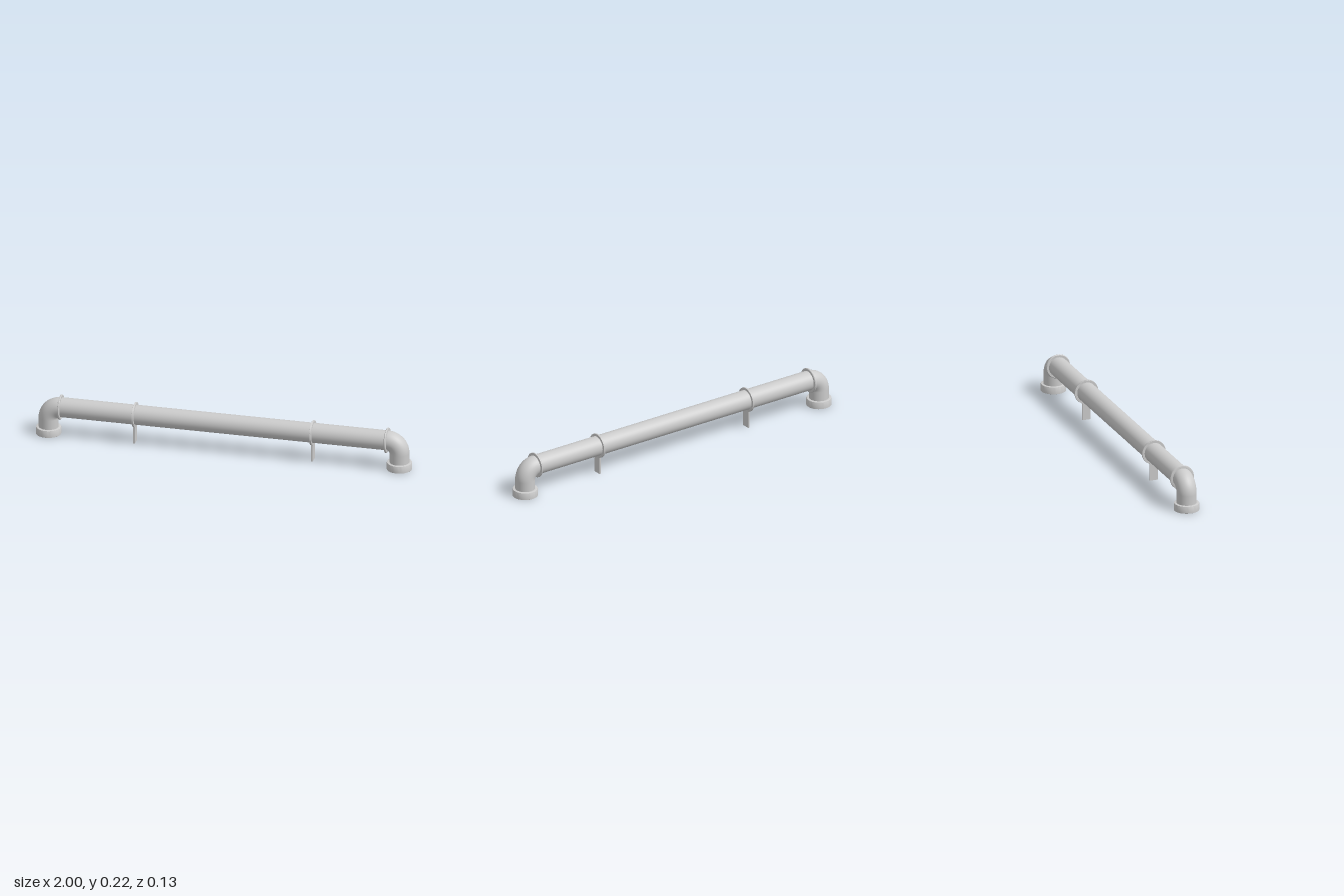
import * as THREE from 'three';
import { toCreasedNormals } from 'three/addons/utils/BufferGeometryUtils.js';

const R = 0.052;      // pipe radius
const AXIS = 0.153;   // height of the pipe's axis
const BEND = 0.064;   // centreline radius of the elbows
const END = 0.87;     // where the straight run meets the elbows
const RIM = 0.066;    // outer radius of collars, flanges and clamps

const grey = new THREE.MeshStandardMaterial({ color: 0xcccccc });
const greyOpen = new THREE.MeshStandardMaterial({ color: 0xcccccc, side: THREE.DoubleSide });

function add(parent, name, geometry, material, x = 0, y = 0, z = 0) {
  const mesh = new THREE.Mesh(geometry, material);
  mesh.name = name;
  mesh.position.set(x, y, z);
  parent.add(mesh);
  return mesh;
}

// Solid ring around y, from y = 0 to h, with bevelled outer edges
function ring(inner, outer, h, bottomBevel, topBevel) {
  const profile = [
    [inner, 0], [outer - bottomBevel, 0], [outer, bottomBevel],
    [outer, h - topBevel], [outer - topBevel * 0.3, h - topBevel * 0.3],
    [outer - topBevel, h], [inner, h], [inner, 0],
  ].map(([x, y]) => new THREE.Vector2(x, y));
  return toCreasedNormals(new THREE.LatheGeometry(profile, 40), 0.7);
}

// The same ring laid around the pipe's axis and centred on it
function pipeRing(inner, outer, width, bevel) {
  return ring(inner, outer, width, bevel, bevel).translate(0, -width / 2, 0).rotateZ(-Math.PI / 2);
}

// Elbow turning down into a socket, with its flange
function makeEnd() {
  const end = new THREE.Group();
  const x = END + BEND, bendY = AXIS - BEND;
  add(end, 'elbow', new THREE.TorusGeometry(BEND, R, 32, 20, Math.PI / 2), greyOpen, END, bendY);
  const neckBase = 0.03;
  add(end, 'neck', new THREE.CylinderGeometry(R, R, bendY - neckBase, 32, 1, true),
    greyOpen, x, (bendY + neckBase) / 2);
  add(end, 'collar', ring(R - 0.001, RIM, 0.039, 0.0005, 0.005), grey, x);
  add(end, 'flange', pipeRing(R - 0.002, RIM, 0.01, 0.003), grey, END - 0.001, AXIS);
  return end;
}

// Clamp band around the pipe, carried by a flat strap
function makeBracket() {
  const bracket = new THREE.Group();
  const width = 0.009, top = AXIS - R - 0.001;
  add(bracket, 'clampBand', pipeRing(R - 0.001, RIM - 0.001, width, 0.0005), grey, 0, AXIS);
  add(bracket, 'strap', new THREE.BoxGeometry(width, top, 0.046), grey, 0, top / 2);
  return bracket;
}

export function createModel() {
  const model = new THREE.Group();
  model.name = 'pipeRail';

  // Straight run
  add(model, 'pipe', new THREE.CylinderGeometry(R, R, 2 * END, 40, 1, true).rotateZ(Math.PI / 2),
    greyOpen, 0, AXIS);

  for (const side of [1, -1]) {
    const label = side > 0 ? 'left' : 'right';
    const end = makeEnd();
    end.name = label + 'End';
    end.rotation.y = side > 0 ? 0 : Math.PI;
    model.add(end);

    const bracket = makeBracket();
    bracket.name = label + 'Bracket';
    bracket.position.x = side * 0.473;
    model.add(bracket);
  }
  return model;
}
